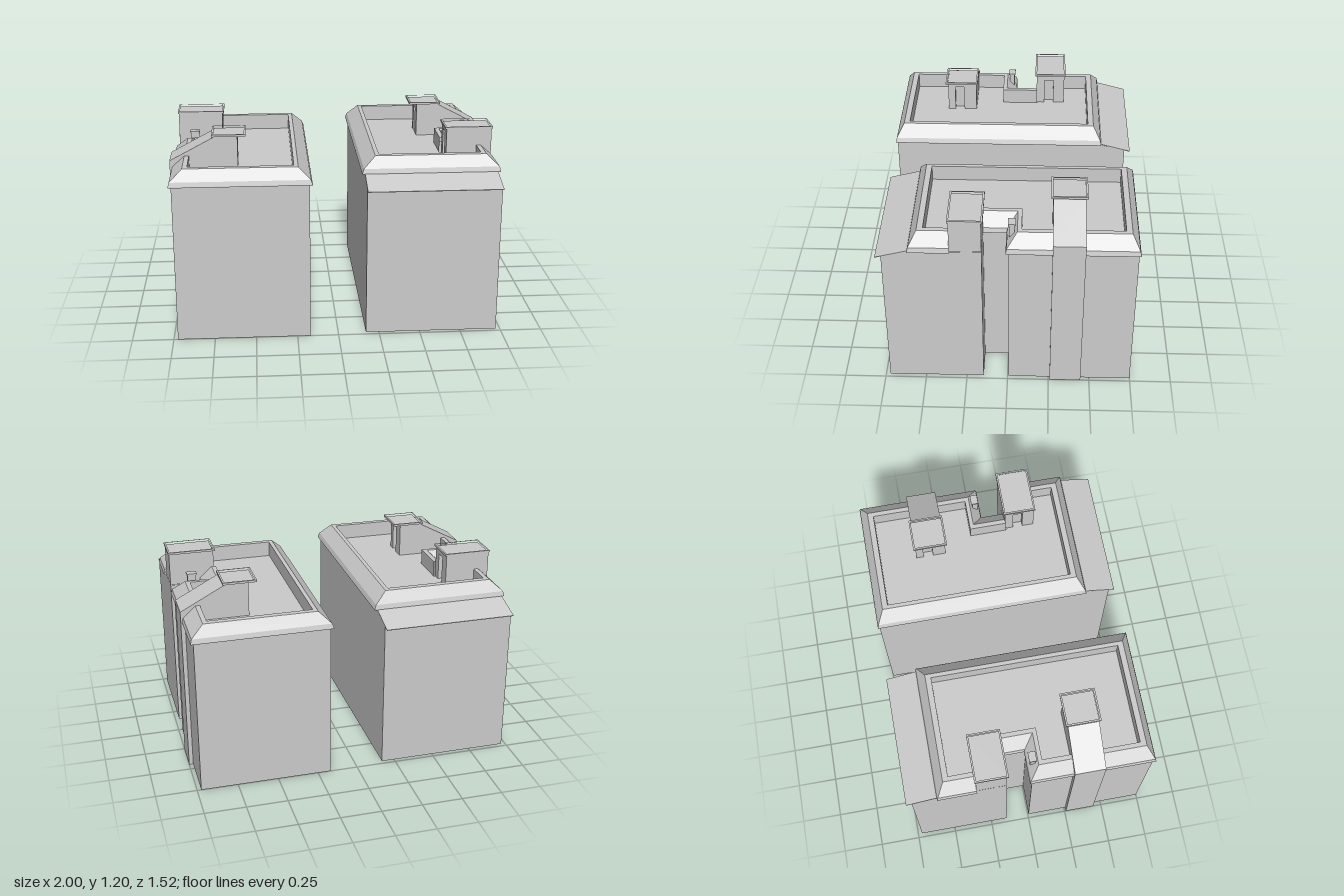
import * as THREE from 'three';

const material = new THREE.MeshStandardMaterial({ color: 0xcccccc, flatShading: true });
const thinMaterial = new THREE.MeshStandardMaterial({ color: 0xcccccc, flatShading: true, side: THREE.DoubleSide });

function add(parent, name, geometry, mat = material) {
  const mesh = new THREE.Mesh(geometry, mat);
  mesh.name = name;
  parent.add(mesh);
}

// Box given by its limits on each axis
function box(x0, x1, y0, y1, z0, z1) {
  return new THREE.BoxGeometry(x1 - x0, y1 - y0, z1 - z0)
    .translate((x0 + x1) / 2, (y0 + y1) / 2, (z0 + z1) / 2);
}

const toShape = (points) => new THREE.Shape(points.map(([a, b]) => new THREE.Vector2(a, b)));
const planShape = (points) => toShape(points.map(([x, z]) => [x, -z]));
const extrude = (shape, depth) => new THREE.ExtrudeGeometry(shape, { depth, bevelEnabled: false });
const rect = (x0, x1, z0, z1) => [[x0, z0], [x1, z0], [x1, z1], [x0, z1]];

// Surface through closed rings of [x, y, z] points, optionally leaving out one side
function loft(rings, skipSide = -1) {
  const positions = [];
  for (let i = 0; i < rings.length - 1; i++) {
    const n = rings[i].length;
    for (let j = 0; j < n; j++) {
      if (j === skipSide) continue;
      const k = (j + 1) % n;
      const [a, b, c, d] = [rings[i][j], rings[i][k], rings[i + 1][k], rings[i + 1][j]];
      positions.push(...a, ...d, ...c, ...a, ...c, ...b);
    }
  }
  const geometry = new THREE.BufferGeometry();
  geometry.setAttribute('position', new THREE.Float32BufferAttribute(positions, 3));
  geometry.computeVertexNormals();
  return geometry;
}

// Open shell of walls with the light well; the front bay drops under the lean-to roof
function walls() {
  const eave = 0.968, bay = 0.926;
  const plan = [
    [0.17, -0.75, eave], [0.975, -0.75, eave], [0.975, -0.005, eave], [0.775, -0.005, eave],
    [0.775, 0.147, eave], [0.975, 0.147, eave], [0.975, 0.56, eave], [0.975, 0.724, bay],
    [0.17, 0.724, bay], [0.17, 0.56, eave],
  ];
  return loft([plan.map(([x, z]) => [x, 0, z]), plan.map(([x, z, top]) => [x, top, z])]);
}

// Roof outline with the light well cut into the outer side
function roofOutline([x0, x1, z0, z1, wellZ]) {
  const wellX = x1 - 0.2;
  return [[x0, z0], [x1, z0], [x1, wellZ], [wellX, wellZ], [wellX, 0.15], [x1, 0.33], [x1, z1], [x0, z1]];
}

// From the eave up over the sloped roof edge and down inside the parapet
function roofEdge() {
  const rings = [
    [0.17, 0.975, -0.75, 0.56, -0.005, 0.968],
    [0.153, 0.992, -0.76, 0.572, 0.01, 0.968],
    [0.153, 0.992, -0.76, 0.572, 0.01, 0.973],
    [0.163, 0.985, -0.753, 0.565, 0.004, 1.0],
    [0.235, 0.91, -0.71, 0.52, -0.055, 1.068],
    [0.26, 0.882, -0.675, 0.485, -0.08, 1.068],
    [0.26, 0.882, -0.675, 0.485, -0.08, 0.97],
  ];
  // Side 4 is left out where the stair house by the well stands
  return loft(rings.map((r) => roofOutline(r).map(([x, z]) => [x, r[5], z])), 4);
}

// Rooftop stair house: room, recessed doorway facing the roof, rimmed flat cap
function stairHouse(name, [x0, x1, z0, z1], door, [cx0, cx1, cz0, cz1], top) {
  const house = new THREE.Group();
  house.name = name;
  const y0 = 0.97, doorTop = 1.14, inner = x0 + 0.03, capY = top - 0.013, rim = 0.011;
  add(house, 'room', box(inner, x1, y0, capY, z0, z1));
  add(house, 'doorJamb', box(x0, inner, y0, capY, z0, door[0]));
  add(house, 'doorJamb', box(x0, inner, y0, capY, door[1], z1));
  add(house, 'doorLintel', box(x0, inner, doorTop, capY, door[0], door[1]));
  const frame = planShape(rect(cx0, cx1, cz0, cz1));
  frame.holes.push(planShape(rect(cx0 + rim, cx1 - rim, cz0 + rim, cz1 - rim)));
  add(house, 'capRim', extrude(frame, top - capY).rotateX(-Math.PI / 2).translate(0, capY, 0));
  add(house, 'capSlab', box(cx0 + rim, cx1 - rim, capY, capY + 0.002, cz0 + rim, cz1 - rim));
  return house;
}

function createBuilding(name) {
  const building = new THREE.Group();
  building.name = name;
  add(building, 'walls', walls(), thinMaterial);

  // Lean-to roof over the front bay: [z, y] profile stretched along x
  const leanTo = toShape([[0.56, 0.969], [0.76, 0.916], [0.76, 0.92], [0.56, 0.973]]);
  add(building, 'leanToRoof', extrude(leanTo, 0.806).rotateY(-Math.PI / 2).translate(0.976, 0, 0));

  // Roof
  add(building, 'roofEdge', roofEdge(), thinMaterial);
  const floor = planShape(roofOutline([0.26, 0.882, -0.675, 0.485, -0.08]));
  add(building, 'roofFloor', new THREE.ShapeGeometry(floor).rotateX(-Math.PI / 2).translate(0, 0.971, 0), thinMaterial);

  // Stair houses
  building.add(stairHouse('rearStairHouse', [0.59, 0.735, -0.447, -0.258], [-0.4, -0.34],
    [0.54, 0.745, -0.459, -0.247], 1.197));
  building.add(stairHouse('wellStairHouse', [0.695, 0.975, 0.147, 0.333], [0.2, 0.26],
    [0.685, 0.98, 0.138, 0.34], 1.187));

  // Projecting stair shaft with a sloping top
  add(building, 'stairShaft', extrude(toShape([
    [0.974, 0], [1, 0], [1, 1.038], [0.725, 1.184], [0.725, 0.97], [0.974, 0.97],
  ]), 0.189).translate(0, 0, -0.447));

  // Small chimney beside the light well
  add(building, 'chimney', box(0.838, 0.89, 0.98, 1.1, -0.038, -0.007));
  add(building, 'chimneyCap', box(0.833, 0.895, 1.1, 1.108, -0.046, -0.001));
  return building;
}

export function createModel() {
  const model = new THREE.Group();
  model.name = 'twinBuildings';
  model.add(createBuilding('leftBuilding'));
  const right = createBuilding('rightBuilding');
  right.rotation.y = Math.PI;
  model.add(right);
  return model;
}
